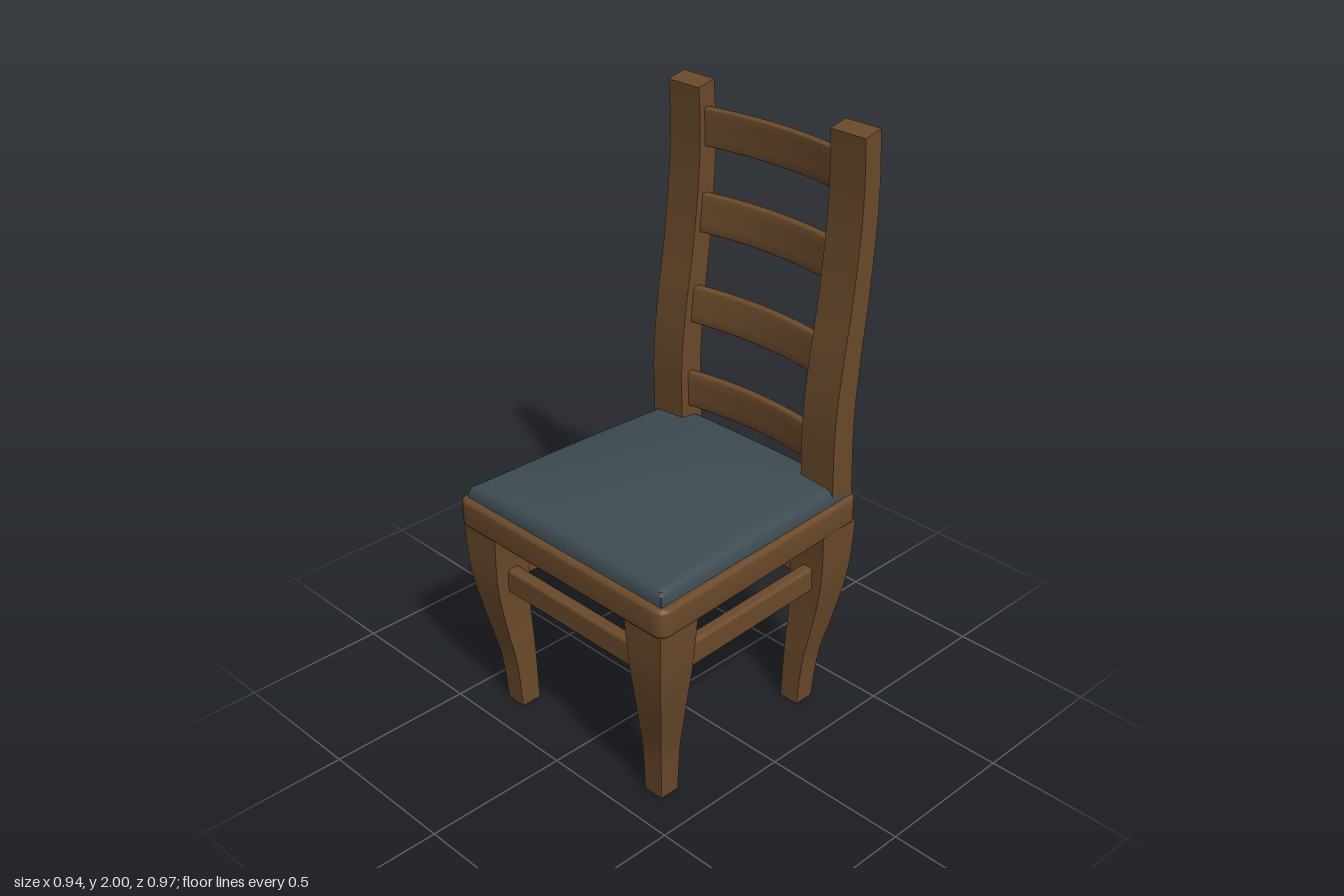
import * as THREE from 'three';
import { toCreasedNormals } from 'three/addons/utils/BufferGeometryUtils.js';
import { RoundedBoxGeometry } from 'three/addons/geometries/RoundedBoxGeometry.js';

const wood = new THREE.MeshStandardMaterial({ color: 0x6b4a2b });
const fabric = new THREE.MeshStandardMaterial({ color: 0x3d4c52 });

// Smooth curve through [height, offset] pairs, read by height
function profile(points) {
  return (y) => {
    const n = points.length;
    let i = 0;
    while (i < n - 2 && y > points[i + 1][0]) i++;
    const slope = (k) => {
      const a = points[Math.max(k - 1, 0)], b = points[Math.min(k + 1, n - 1)];
      return (b[1] - a[1]) / (b[0] - a[0]);
    };
    const [y0, v0] = points[i], [y1, v1] = points[i + 1];
    const h = y1 - y0, t = Math.min(Math.max((y - y0) / h, 0), 1);
    return v0 * (1 + 2 * t) * (1 - t) ** 2 + h * slope(i) * t * (1 - t) ** 2
      + v1 * t * t * (3 - 2 * t) + h * slope(i + 1) * t * t * (t - 1);
  };
}

// Move every vertex by a rule (x, y, z) => [x, y, z]
function warp(geometry, rule) {
  const p = geometry.attributes.position;
  for (let i = 0; i < p.count; i++) p.setXYZ(i, ...rule(p.getX(i), p.getY(i), p.getZ(i)));
  geometry.computeVertexNormals();
  return geometry;
}

function add(parent, name, geometry, material = wood) {
  const mesh = new THREE.Mesh(geometry, material);
  mesh.name = name;
  parent.add(mesh);
  return mesh;
}

// Backrest post faces as z over height
const postFront = profile([[0.78, -0.34], [1.05, -0.336], [1.25, -0.355], [1.45, -0.385], [1.7, -0.41], [1.85, -0.413], [2, -0.406]]);
const postBack = profile([[0.78, -0.434], [1.05, -0.426], [1.25, -0.44], [1.45, -0.463], [1.7, -0.483], [1.85, -0.484], [2, -0.474]]);
const postMiddle = (y) => (postFront(y) + postBack(y)) / 2;

// Leg faces, measured outward from the foot's inner corner
const legOuter = profile([[0, 0.073], [0.18, 0.087], [0.3, 0.11], [0.45, 0.137], [0.55, 0.149], [0.7, 0.156]]);
const legInner = profile([[0, 0], [0.2, 0.005], [0.4, 0.013], [0.55, 0.01], [0.7, 0]]);

// Tapered seat frame with rounded corners and edges
function seatFrameGeometry() {
  const bevel = 0.014, r = 0.03;
  const corners = [[-0.47, -0.48], [0.47, -0.48], [0.422, 0.452], [-0.422, 0.452]]
    .map(([x, y]) => new THREE.Vector2(x - Math.sign(x) * bevel, y - Math.sign(y) * bevel));
  const shape = new THREE.Shape();
  corners.forEach((c, i) => {
    const a = c.clone().add(corners[(i + 3) % 4].clone().sub(c).setLength(r));
    const b = c.clone().add(corners[(i + 1) % 4].clone().sub(c).setLength(r));
    if (i === 0) shape.moveTo(a.x, a.y); else shape.lineTo(a.x, a.y);
    shape.quadraticCurveTo(c.x, c.y, b.x, b.y);
  });
  shape.closePath();
  const g = new THREE.ExtrudeGeometry(shape, {
    depth: 0.1 - 2 * bevel, bevelSize: bevel, bevelThickness: bevel, bevelSegments: 4, curveSegments: 6,
  });
  g.rotateX(-Math.PI / 2).translate(0, 0.69 + bevel, 0);
  return toCreasedNormals(g, 0.6);
}

// Domed cushion with a rolled rim, wider at the front
function cushionGeometry() {
  const g = new THREE.PlaneGeometry(2, 2, 36, 36).rotateX(-Math.PI / 2);
  warp(g, (s, _, t) => {
    const u = Math.sin(s * Math.PI / 2), v = Math.sin(t * Math.PI / 2);
    const halfWidth = 0.425 + 0.02 * v;
    const d = Math.min(1 - Math.abs(u), 1 - Math.abs(v)) * 0.44;
    const k = 1 - Math.min(d / 0.028, 1);
    const y = 0.785 + 0.05 * Math.sqrt(1 - k * k) + 0.055 * (1 - u * u) * (1 - v * v);
    return [u * halfWidth, y, 0.015 + 0.443 * v];
  });
  return toCreasedNormals(g, 0.75);
}

// Curved slat, bowed backward and leaning with the posts
function slatGeometry(bottom, top) {
  const n = 20, half = 0.3, bevel = 0.006, thick = 0.028 / 2 - bevel;
  const bow = (x) => 0.028 * (1 - (x / 0.27) ** 2);
  const pts = [];
  for (let i = 0; i <= n; i++) {
    const x = -half + 2 * half * i / n;
    pts.push(new THREE.Vector2(x, bow(x) - thick));
  }
  for (let i = n; i >= 0; i--) pts.push(new THREE.Vector2(pts[i].x, pts[i].y + 2 * thick));
  const g = new THREE.ExtrudeGeometry(new THREE.Shape(pts), {
    depth: top - bottom - 2 * bevel, steps: 4, bevelSize: bevel, bevelThickness: bevel, bevelSegments: 3,
  });
  g.rotateX(-Math.PI / 2).translate(0, bottom + bevel, 0);
  warp(g, (x, y, z) => [x, y, z + postMiddle(y)]);
  return toCreasedNormals(g, 0.6);
}

export function createModel() {
  const chair = new THREE.Group();
  chair.name = 'chair';

  add(chair, 'seatFrame', seatFrameGeometry());
  add(chair, 'cushion', cushionGeometry(), fabric);

  for (const [side, sx] of [['left', 1], ['right', -1]]) {
    // Backrest posts with a slightly sloping top
    const post = new THREE.BoxGeometry(0.135, 1, 1, 1, 28, 1);
    add(chair, side + 'Post', warp(post, (x, y, z) => {
      const h = 0.78 + 1.22 * (y + 0.5);
      const drop = y > 0.499 && z > 0 ? 0.015 : 0;
      return [x + sx * 0.3375, h - drop, z > 0 ? postFront(h) : postBack(h)];
    }));

    // Curved legs, the back pair set slightly closer together
    for (const [end, sz, footX, footZ] of [['Front', 1, 0.298, 0.315], ['Back', -1, 0.27, 0.28]]) {
      const leg = new THREE.BoxGeometry(1, 1, 1, 1, 20, 1);
      add(chair, side + end + 'Leg', warp(leg, (x, y, z) => {
        const h = 0.7 * (y + 0.5);
        return [
          sx * (footX + (x * sx > 0 ? legOuter(h) : legInner(h))), h,
          sz * (footZ + (z * sz > 0 ? legOuter(h) : legInner(h))),
        ];
      }));
    }

    // Side stretchers follow the taper of the seat
    const stretcher = add(chair, side + 'Stretcher', new RoundedBoxGeometry(0.045, 0.09, 0.72, 3, 0.012));
    stretcher.position.set(sx * 0.364, 0.51, 0.015);
    stretcher.rotation.y = sx * 0.037;
  }

  // Front and back stretchers
  for (const [name, z, width] of [['frontStretcher', 0.393, 0.72], ['backStretcher', -0.358, 0.66]]) {
    add(chair, name, new RoundedBoxGeometry(width, 0.09, 0.045, 3, 0.012)).position.set(0, 0.51, z);
  }

  // Ladder of backrest slats
  [[0.88, 1.01], [1.19, 1.315], [1.5, 1.63], [1.787, 1.915]].forEach(([bottom, top], i) => {
    add(chair, 'backSlat' + (i + 1), slatGeometry(bottom, top));
  });

  return chair;
}
